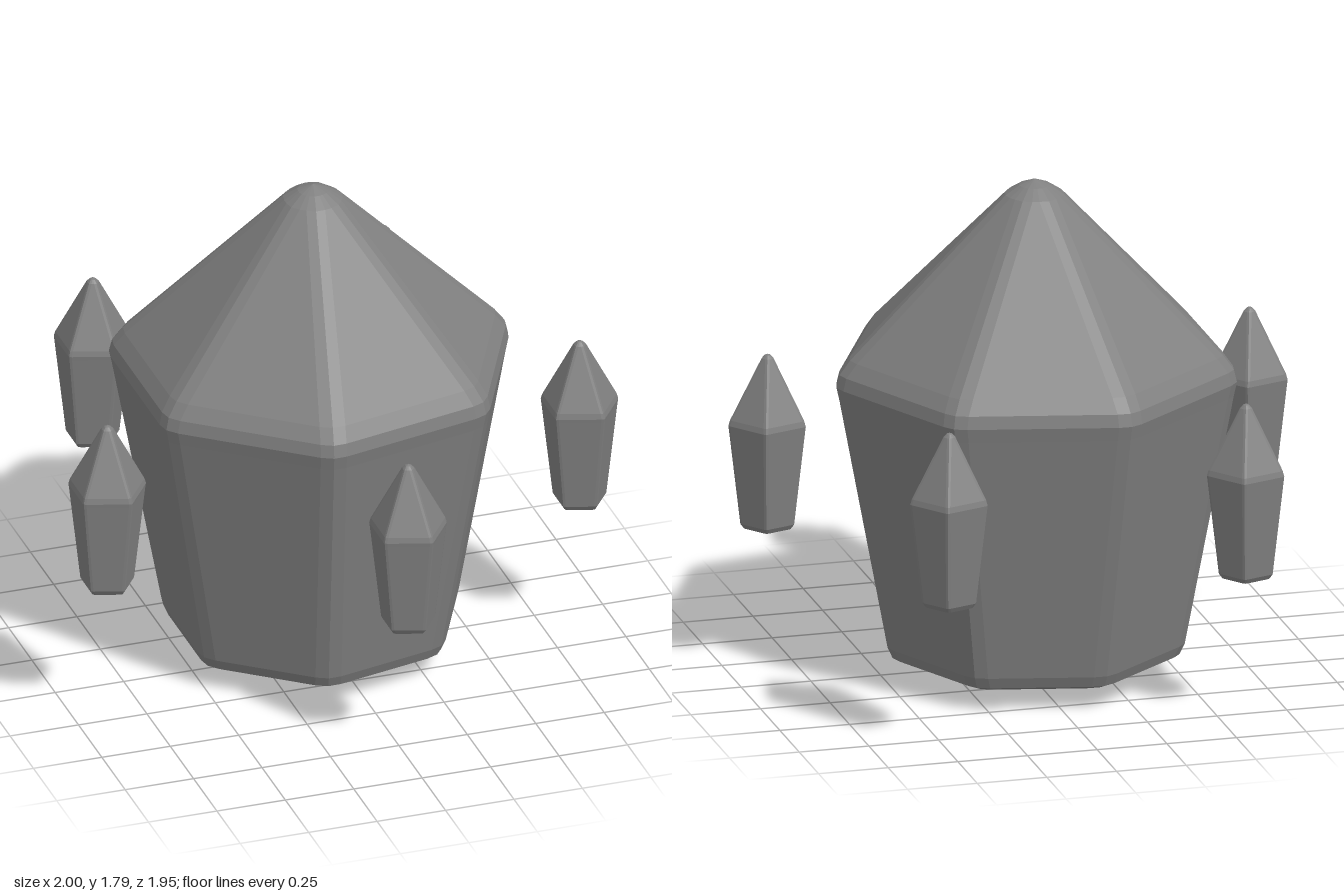
import * as THREE from 'three';

// One cross-section: a regular polygon whose corners are bevelled with three points each.
function ring(sides, r, y, bevel) {
  if (r === 0) return new Array(sides * 3).fill([0, y, 0]);
  const cut = Math.min(bevel, 0.4 * 2 * r * Math.sin(Math.PI / sides));
  const sharp = r + 0.2 * cut;
  const corner = (k) => {
    const a = (k / sides) * Math.PI * 2;
    return new THREE.Vector2(Math.cos(a), Math.sin(a)).multiplyScalar(sharp);
  };
  const points = [];
  for (let k = 0; k < sides; k++) {
    const here = corner(k);
    const toward = (other) => here.clone().add(other.sub(here).setLength(cut));
    const mid = here.clone().setLength(r);
    for (const p of [toward(corner(k - 1)), mid, toward(corner(k + 1))]) points.push([p.x, y, p.y]);
  }
  return points;
}

// Faceted crystal skinned over a bottom-to-top profile of [radius, height].
function crystalGeometry(sides, profile, bevel) {
  const rings = profile.map(([r, y]) => ring(sides, r, y, bevel));
  const n = sides * 3;
  const positions = [];
  for (let j = 0; j < rings.length - 1; j++) {
    for (let i = 0; i < n; i++) {
      const k = (i + 1) % n;
      const a = rings[j][i], b = rings[j + 1][i], c = rings[j + 1][k], d = rings[j][k];
      if (profile[j + 1][0] > 0) positions.push(...a, ...b, ...c);
      if (profile[j][0] > 0) positions.push(...a, ...(profile[j + 1][0] > 0 ? c : b), ...d);
    }
  }
  const geometry = new THREE.BufferGeometry();
  geometry.setAttribute('position', new THREE.Float32BufferAttribute(positions, 3));
  geometry.computeVertexNormals();
  return geometry;
}

export function createModel() {
  const group = new THREE.Group();
  group.name = 'crystalCluster';
  const stone = new THREE.MeshStandardMaterial({ color: 0x808080 });
  stone.name = 'grey stone';

  // Large seven-sided central crystal
  const mainProfile = [
    [0, 0.003], [0.475, 0.075], [0.51, 0.09], [0.528, 0.13],
    [0.7, 1.04], [0.711, 1.09], [0.7, 1.135], [0.662, 1.185],
    [0.105, 1.737], [0.055, 1.769], [0, 1.79],
  ];
  const main = new THREE.Mesh(crystalGeometry(7, mainProfile, 0.05), stone);
  main.name = 'mainCrystal';
  main.position.set(-0.03, 0, -0.083);
  group.add(main);

  // Five small shards floating around it
  const shardProfile = [
    [0, 0.503], [0.085, 0.522], [0.098, 0.54],
    [0.139, 0.885], [0.141, 0.9], [0.135, 0.92],
    [0.022, 1.135], [0.011, 1.146], [0, 1.15],
  ];
  const shardGeometry = crystalGeometry(5, shardProfile, 0.01);
  const spots = [[0.858, 0.17], [0.005, 0.835], [-0.888, 0.23], [-0.588, -0.807], [0.487, -0.845]];
  spots.forEach(([x, z], i) => {
    const shard = new THREE.Mesh(shardGeometry, stone);
    shard.name = `shard${i + 1}`;
    shard.position.set(x, 0, z);
    group.add(shard);
  });

  return group;
}
